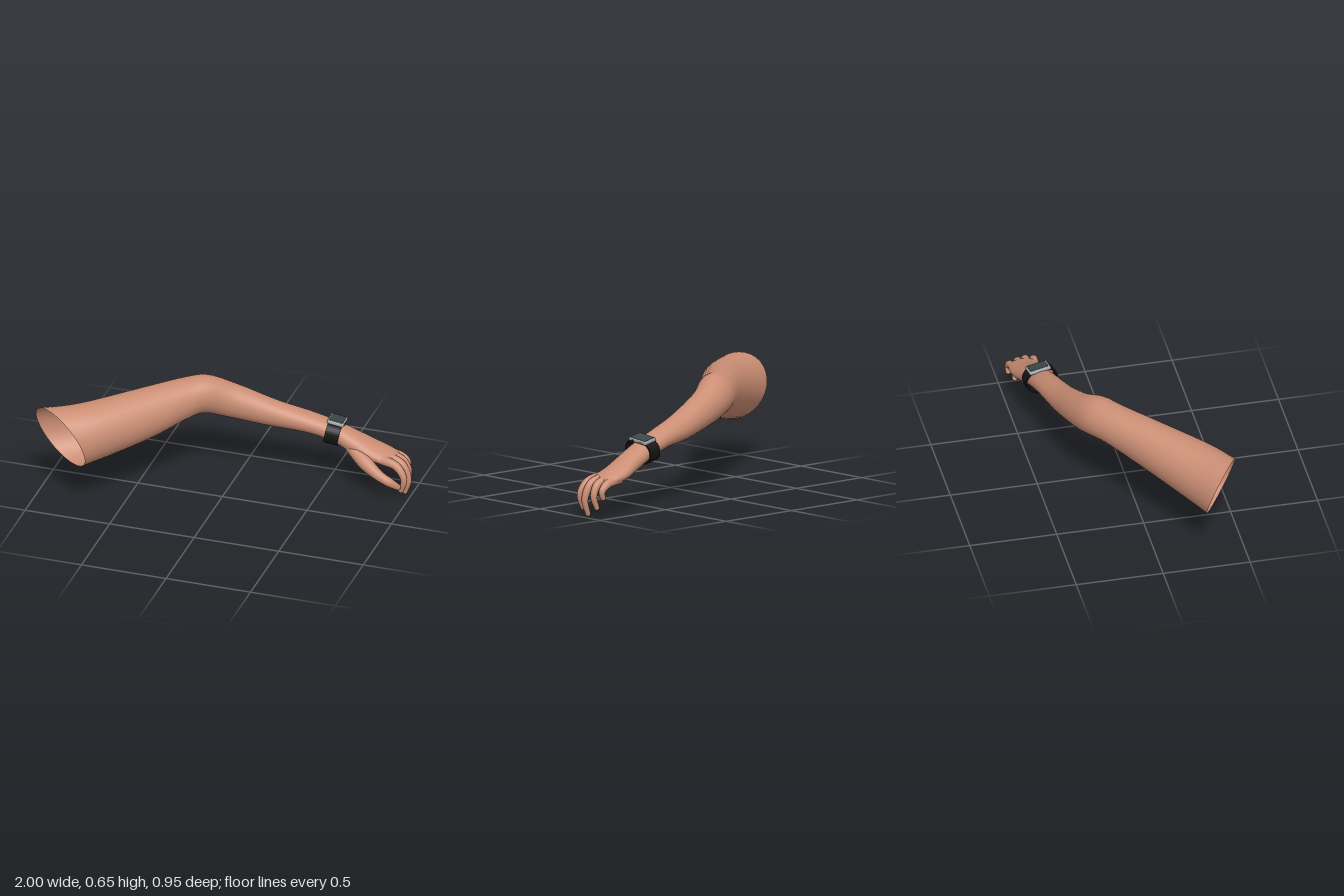
import * as THREE from 'three';
import { RoundedBoxGeometry } from 'three/addons/geometries/RoundedBoxGeometry.js';

const V = (a) => new THREE.Vector3(...a);
const skin = new THREE.MeshStandardMaterial({ color: 0xcb8e74, side: THREE.DoubleSide });
const black = new THREE.MeshStandardMaterial({ color: 0x141414 });
const metal = new THREE.MeshStandardMaterial({ color: 0x9ba0a4 });
const glass = new THREE.MeshStandardMaterial({ color: 0x3b4746 });

// Smooth skin through elliptical rings { c, a, b }: centre and two half axes
function loft(rings, sides) {
  const pos = [], index = [];
  rings.forEach(({ c, a, b }, i) => {
    for (let j = 0; j < sides; j++) {
      const t = (j / sides) * Math.PI * 2;
      const p = c.clone().addScaledVector(a, Math.cos(t)).addScaledVector(b, Math.sin(t));
      pos.push(p.x, p.y, p.z);
      if (i === rings.length - 1) continue;
      const k = (j + 1) % sides, r0 = i * sides, r1 = r0 + sides;
      index.push(r0 + j, r1 + j, r0 + k, r1 + j, r1 + k, r0 + k);
    }
  });
  const g = new THREE.BufferGeometry();
  g.setAttribute('position', new THREE.Float32BufferAttribute(pos, 3));
  g.setIndex(index);
  g.computeVertexNormals();
  return g;
}

// Tapered, round-tipped finger along a curve
function finger(points, radii) {
  const curve = new THREE.CatmullRomCurve3(points.map(V));
  const len = curve.getLength(), rings = [], n = 26;
  for (let i = 0; i <= n; i++) {
    const t = Math.sin((i / n) * Math.PI / 2);
    const f = t * (radii.length - 1), k = Math.min(Math.floor(f), radii.length - 2);
    let r = THREE.MathUtils.lerp(radii[k], radii[k + 1], f - k);
    const d = (1 - t) * len;
    if (d < r) r *= Math.sqrt(Math.max(1e-6, 1 - (1 - d / r) ** 2));
    const T = curve.getTangent(t);
    const a = new THREE.Vector3(0, 0, 1);
    a.addScaledVector(T, -a.dot(T)).normalize();
    const b = a.clone().cross(T);
    rings.push({ c: curve.getPoint(t), a: a.multiplyScalar(r), b: b.multiplyScalar(r) });
  }
  return loft(rings, 14);
}

function mesh(parent, name, geometry, material) {
  const m = new THREE.Mesh(geometry, material);
  m.name = name;
  parent.add(m);
  return m;
}

// Closed band outline around the wrist
function bandOutline(path, w, h) {
  const pts = [];
  for (let i = 0; i < 40; i++) {
    const t = (i / 40) * Math.PI * 2, c = Math.cos(t), s = Math.sin(t);
    pts.push(new THREE.Vector2(w * Math.sign(c) * Math.abs(c) ** 0.85, h * Math.sign(s) * Math.abs(s) ** 0.85));
  }
  return path.setFromPoints(pts);
}

function createWatch() {
  const watch = new THREE.Group();
  watch.name = 'watch';

  // Strap: a thin loop extruded along the forearm
  const shape = bandOutline(new THREE.Shape(), 0.095, 0.07);
  shape.holes.push(bandOutline(new THREE.Path(), 0.087, 0.062));
  const strap = new THREE.ExtrudeGeometry(shape, { depth: 0.08, bevelEnabled: false });
  strap.translate(0, 0, -0.04).rotateY(Math.PI / 2);
  mesh(watch, 'strap', strap, black);

  // Case, screen and side buttons
  mesh(watch, 'case', new RoundedBoxGeometry(0.098, 0.022, 0.128, 3, 0.009), metal).position.y = 0.066;
  mesh(watch, 'screen', new RoundedBoxGeometry(0.08, 0.006, 0.108, 2, 0.003), glass).position.y = 0.076;
  const crown = new THREE.CylinderGeometry(0.006, 0.006, 0.006, 16).rotateZ(Math.PI / 2);
  mesh(watch, 'crown', crown, black).position.set(0.05, 0.066, 0.032);
  const button = new RoundedBoxGeometry(0.004, 0.006, 0.03, 2, 0.002);
  mesh(watch, 'sideButton', button, metal).position.set(0.05, 0.066, -0.03);

  watch.position.set(0.545, 0.328, -0.36);
  watch.rotation.set(-0.14, 0.11, -0.17);
  return watch;
}

export function createModel() {
  const model = new THREE.Group();
  model.name = 'armWithWatch';

  // Arm stations from open shoulder end to knuckles: centre, side axis, up axis
  const stations = [
    [[-0.835, 0.43, 0.37], [0.165, -0.03, 0.09], [-0.035, 0.178, 0.055]],
    [[-0.685, 0.445, 0.27], [0.118, 0, 0.105], [-0.02, 0.17, 0.02]],
    [[-0.44, 0.49, 0.06], [0.075, 0, 0.105], [-0.02, 0.145, 0.01]],
    [[-0.26, 0.528, -0.11], [0.062, 0, 0.092], [0, 0.12, 0]],
    [[-0.16, 0.532, -0.19], [0.045, 0, 0.093], [0.02, 0.114, 0]],
    [[-0.03, 0.485, -0.247], [0.024, 0, 0.086], [0.035, 0.096, -0.006]],
    [[0.2, 0.415, -0.302], [0.015, 0, 0.077], [0.025, 0.075, 0]],
    [[0.4, 0.372, -0.34], [0.012, 0, 0.073], [0.015, 0.058, 0]],
    [[0.55, 0.325, -0.362], [0.01, 0, 0.071], [0.02, 0.053, 0]],
    [[0.66, 0.275, -0.372], [0, 0, 0.079], [0.022, 0.053, 0]],
    [[0.77, 0.228, -0.386], [0, 0, 0.091], [0.02, 0.043, 0]],
    [[0.87, 0.198, -0.388], [0, 0, 0.083], [0.016, 0.032, 0]],
    [[0.915, 0.18, -0.388], [0, 0, 0.05], [0.006, 0.012, 0]],
    [[0.918, 0.178, -0.388], [0, 0, 0.001], [0, 0.001, 0]],
  ];
  const [C, A, B] = [0, 1, 2].map(
    (k) => new THREE.CatmullRomCurve3(stations.map((s) => V(s[k])), false, 'catmullrom', 0.5));
  const rings = [];
  for (let i = 0; i <= 78; i++) {
    const t = i / 78;
    rings.push({ c: C.getPoint(t), a: A.getPoint(t), b: B.getPoint(t) });
  }
  mesh(model, 'armAndPalm', loft(rings, 32), skin);

  // Curled fingers and thumb
  const digits = {
    indexFinger: [[0.82, 0.212, -0.33], [0.925, 0.188, -0.315], [0.972, 0.12, -0.304], [0.95, 0.03, -0.31]],
    middleFinger: [[0.83, 0.215, -0.37], [0.94, 0.185, -0.36], [0.982, 0.1, -0.354], [0.958, 0, -0.358]],
    ringFinger: [[0.82, 0.21, -0.412], [0.93, 0.185, -0.405], [0.966, 0.12, -0.41], [0.945, 0.04, -0.418]],
    littleFinger: [[0.8, 0.205, -0.442], [0.905, 0.185, -0.452], [0.945, 0.15, -0.456], [0.935, 0.1, -0.456]],
  };
  for (const [name, path] of Object.entries(digits)) {
    mesh(model, name, finger(path, [0.028, 0.024, 0.019, 0.014]), skin);
  }
  const thumb = [[0.63, 0.272, -0.345], [0.75, 0.198, -0.285], [0.84, 0.15, -0.252], [0.905, 0.118, -0.249], [0.955, 0.07, -0.285]];
  mesh(model, 'thumb', finger(thumb, [0.035, 0.042, 0.03, 0.026, 0.016]), skin);

  model.add(createWatch());
  return model;
}
